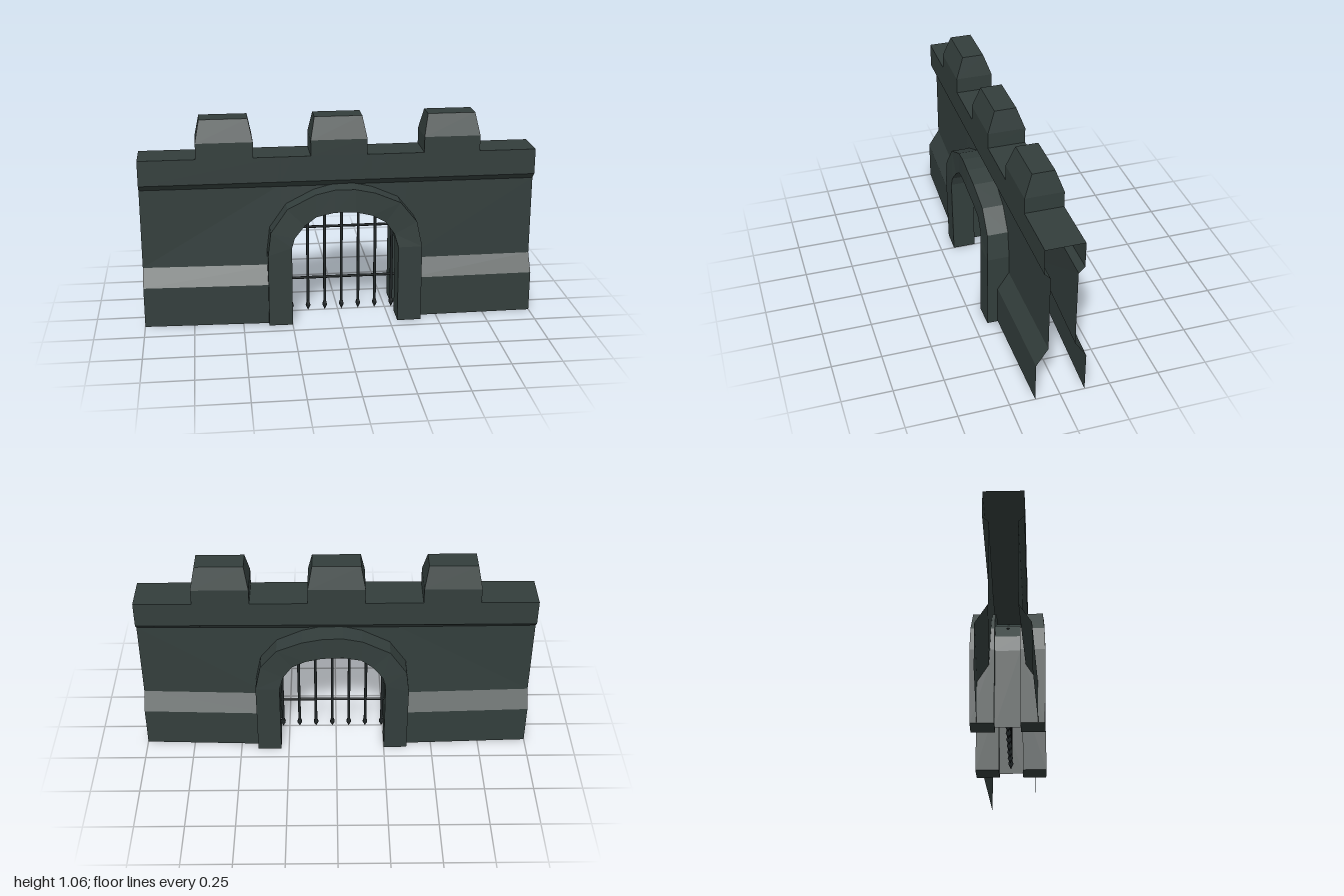
import * as THREE from 'three';

const stone = new THREE.MeshStandardMaterial({ color: 0x333e3c, side: THREE.DoubleSide });
stone.name = 'slate stone';
const iron = new THREE.MeshStandardMaterial({ color: 0x1f2526 });
iron.name = 'dark iron';

// Archway outlines, left foot to right foot
const inner = [[-.25, 0], [-.25, .42], [-.235, .47], [-.185, .53], [-.125, .575], [-.035, .597],
  [.07, .597], [.155, .575], [.225, .535], [.27, .47], [.29, .4], [.29, 0]];
const outer = [[-.37, 0], [-.37, .38], [-.355, .5], [-.27, .62], [-.13, .69], [-.03, .715],
  [.07, .715], [.17, .692], [.3, .635], [.385, .53], [.412, .4], [.412, 0]];
const slot = inner.map((p, i) => [(p[0] + outer[i][0]) / 2, (p[1] + outer[i][1]) / 2]);

// Wall section: height, depth at the ends, depth beside the arch
const section = [[0, .123, .147], [.21, .123, .147], [.3, .065, .09], [.71, .065, .072], [.74, .095, .095], [.87, .095, .095]];

function mesh(name, geometry, material) {
  const m = new THREE.Mesh(geometry, material);
  m.name = name;
  return m;
}

// Faceted surface through a grid of points
function gridSurface(rows, flip = false) {
  const pos = [], put = (...pts) => (flip ? pts.reverse() : pts).forEach(p => pos.push(...p));
  for (let i = 0; i < rows.length - 1; i++) {
    for (let j = 0; j < rows[i].length - 1; j++) {
      const a = rows[i][j], b = rows[i + 1][j], c = rows[i + 1][j + 1], d = rows[i][j + 1];
      put(a, b, c);
      put(a, c, d);
    }
  }
  const g = new THREE.BufferGeometry();
  g.setAttribute('position', new THREE.Float32BufferAttribute(pos, 3));
  g.computeVertexNormals();
  return g;
}

function wallDepth(x, y, side) {
  let k = 0;
  while (k < section.length - 2 && y > section[k + 1][0]) k++;
  const [y0, e0, m0] = section[k], [y1, e1, m1] = section[k + 1];
  const t = (y - y0) / (y1 - y0);
  const end = e0 + (e1 - e0) * t, mid = m0 + (m1 - m0) * t;
  const bulge = Math.min(1, (1 - Math.abs(x)) / .63) * (side > 0 && x > 0 ? .25 : 1);
  return side * (end + (mid - end) * bulge);
}

// One wall face, cut away along the slot outline
function wallFace(side) {
  const columns = [[-1, 0], ...slot, [1, 0]];
  const rows = columns.map(([x, floor]) => section.map(([h]) => {
    const y = Math.max(h, floor);
    return [x, y, wallDepth(x, y, side)];
  }));
  return gridSurface(rows, side < 0);
}

// Closed arch ring on one side of the gate slot
function archRing(side) {
  const rows = inner.map(([x, y], i) => {
    const [u, v] = outer[i], z0 = side * .062, z1 = side * (.179 + .006 * Math.sin(i * 1.3));
    return [[x, y, z0], [x, y, z1], [u, v, z1 - side * .002], [u, v, z0], [x, y, z0]];
  });
  const foot = r => [r[0], r[1], r[2], r[3]];
  const g = new THREE.Group();
  g.add(mesh('archStones', gridSurface(rows, side > 0), stone));
  for (const r of [rows[0], rows[rows.length - 1]]) {
    const f = foot(r), flip = (f[2][0] < f[0][0]) === (side > 0);
    g.add(mesh('archFoot', gridSurface([[f[0], f[1]], [f[3], f[2]]], !flip), stone));
  }
  return g;
}

// Straight block with a tapered cap
function merlon() {
  const level = (w, d, y) => [[-w, y, d], [w, y, d], [w, y, -d], [-w, y, -d], [-w, y, d]];
  const levels = [level(.142, .095, .87), level(.142, .095, .95), level(.12, .055, 1.06), level(0, 0, 1.06)];
  return gridSurface(levels, true);
}

function slotHeight(x) {
  for (let i = 1; i < slot.length - 2; i++) {
    const [a, h] = slot[i], [b, k] = slot[i + 1];
    if (x >= a && x <= b) return h + (k - h) * (x - a) / (b - a);
  }
  return .4;
}

export function createModel() {
  const model = new THREE.Group();
  model.name = 'castleGate';

  // Wall faces and arch rings, front and back
  for (const side of [1, -1]) {
    const label = side > 0 ? 'front' : 'back';
    model.add(mesh(label + 'Wall', wallFace(side), stone));
    const ring = archRing(side);
    ring.name = label + 'Arch';
    model.add(ring);
  }

  // Walkway on top
  const top = new THREE.PlaneGeometry(2, .19).rotateX(-Math.PI / 2).translate(0, .87, 0);
  model.add(mesh('wallTop', top, stone));

  // Recess between the rings where the gate slides
  const recess = slot.map(([x, y]) => [[x, y, -.062], [x, y, .062]]);
  model.add(mesh('gateSlot', gridSurface(recess, true), stone));

  // Merlons
  for (const x of [-.572, -.002, .57]) {
    const m = mesh('merlon', merlon(), stone);
    m.position.x = x;
    model.add(m);
  }

  // Portcullis: spiked uprights and two crossbars
  const gate = new THREE.Group();
  gate.name = 'portcullis';
  for (let i = 0; i < 7; i++) {
    const x = .02 + (i - 3) * .088, h = slotHeight(x) - .03;
    const bar = mesh('gateBar', new THREE.CylinderGeometry(.008, .008, h, 6), iron);
    bar.position.set(x, .03 + h / 2, 0);
    const points = [[0, 0], [.014, .03], [.008, .05]].map(p => new THREE.Vector2(...p));
    const spike = mesh('gateSpike', new THREE.LatheGeometry(points, 6), iron);
    spike.position.x = x;
    gate.add(bar, spike);
  }
  for (const y of [.185, .465]) {
    const rail = mesh('gateRail', new THREE.CylinderGeometry(.007, .007, .58, 6).rotateZ(Math.PI / 2), iron);
    rail.position.set(.02, y, 0);
    gate.add(rail);
  }
  model.add(gate);
  return model;
}
